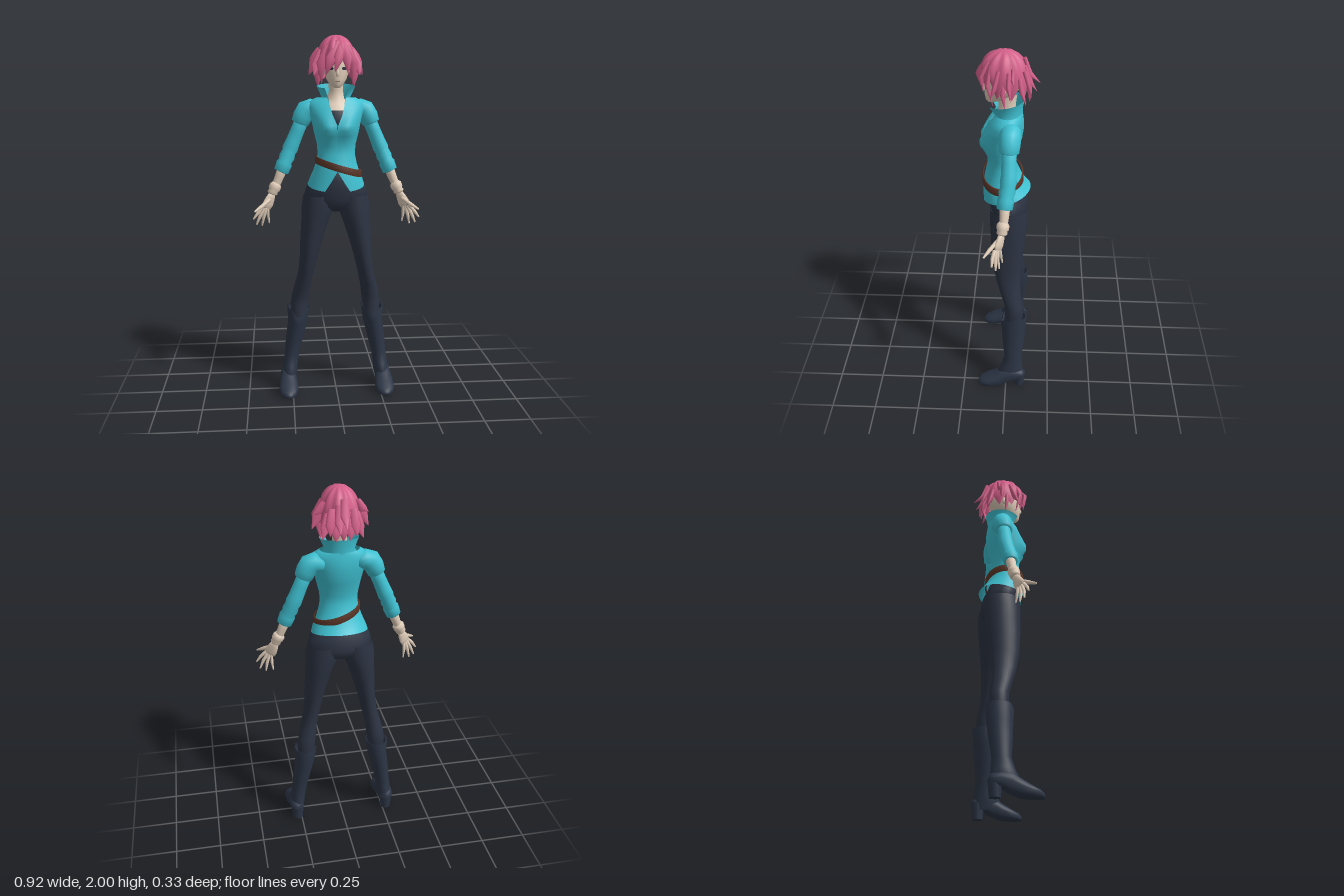
import * as THREE from 'three';

const mat = (name, color, side = THREE.FrontSide) => {
  const m = new THREE.MeshStandardMaterial({ color, side });
  m.name = name;
  return m;
};

// Skin a list of cross-sections, each running anticlockwise about the direction of travel
function loft(rows, { wrap = true, cap = false } = {}) {
  const n = rows[0].length, pos = [], idx = [];
  rows.forEach(r => r.forEach(p => pos.push(p.x, p.y, p.z)));
  for (let i = 0; i < rows.length - 1; i++) {
    for (let j = 0; j < (wrap ? n : n - 1); j++) {
      const k = (j + 1) % n, a = i * n + j, b = i * n + k, c = b + n, d = a + n;
      idx.push(a, b, c, a, c, d);
    }
  }
  if (cap) {
    [0, rows.length - 1].forEach((r, end) => {
      const mid = new THREE.Vector3();
      rows[r].forEach(p => mid.addScaledVector(p, 1 / n));
      const m = pos.length / 3;
      pos.push(mid.x, mid.y, mid.z);
      for (let j = 0; j < n; j++) {
        const a = r * n + j, b = r * n + (j + 1) % n;
        idx.push(m, end ? a : b, end ? b : a);
      }
    });
  }
  const g = new THREE.BufferGeometry();
  g.setAttribute('position', new THREE.Float32BufferAttribute(pos, 3));
  g.setIndex(idx);
  g.computeVertexNormals();
  return g;
}

// Horizontal oval from front depth to back depth; gap leaves an opening at the front
function oval(y, rx, zf, zb, { cx = 0, gap = null, drop = 0, n = 32, move = null } = {}) {
  const g = gap === null ? 0 : Math.asin(Math.min(1, gap / rx));
  const pts = [];
  for (let j = 0; j < (gap === null ? n : n + 1); j++) {
    const t = g + (2 * Math.PI - 2 * g) * j / n;
    const p = new THREE.Vector3(cx + rx * Math.sin(t), y - drop * Math.cos(t),
      (zf + zb) / 2 + (zf - zb) / 2 * Math.cos(t));
    if (move) move(p, t);
    pts.push(p);
  }
  return pts;
}

// Tapered limb along points [x, y, z, radius, depth radius]
function limb(points, n = 16, cap = true) {
  const v = points.map(p => new THREE.Vector3(p[0], p[1], p[2]));
  return loft(points.map((p, i) => {
    const t = v[Math.min(i + 1, v.length - 1)].clone().sub(v[Math.max(i - 1, 0)]).normalize();
    const side = t.clone().cross(new THREE.Vector3(0, 0, 1)).normalize();
    const up = t.clone().cross(side);
    return Array.from({ length: n }, (_, j) => {
      const a = j / n * 2 * Math.PI;
      return v[i].clone().addScaledVector(side, p[3] * Math.cos(a))
        .addScaledVector(up, (p[4] ?? p[3]) * Math.sin(a));
    });
  }), { cap });
}

function mirrored(geo) {
  const g = geo.clone().scale(-1, 1, 1), ix = g.index.array;
  for (let i = 0; i < ix.length; i += 3) [ix[i], ix[i + 1]] = [ix[i + 1], ix[i]];
  g.computeVertexNormals();
  return g;
}

export function createModel() {
  const root = new THREE.Group();
  root.name = 'standingWoman';
  const skin = mat('skin', 0xe0cdb9), hairMat = mat('pinkHair', 0xd25f88, THREE.DoubleSide);
  const teal = mat('tealCloth', 0x3fc1d2, THREE.DoubleSide), navy = mat('navyTrousers', 0x2c3342);
  const bootMat = mat('bootLeather', 0x2c3545, THREE.DoubleSide), brown = mat('brownLeather', 0x5c3628);
  const dark = mat('darkTop', 0x2a3040);
  const add = (name, geo, m) => {
    const mesh = new THREE.Mesh(geo, m);
    mesh.name = name;
    root.add(mesh);
    return mesh;
  };
  const pair = (name, geo, m) => {
    add(name + 'Left', geo, m);
    add(name + 'Right', mirrored(geo), m);
  };

  // Trousers: pelvis and legs
  add('pelvis', loft([[1.05, .03, .04, -.06], [1.075, .13, .075, -.1], [1.12, .18, .095, -.113],
    [1.18, .166, .1, -.103], [1.23, .135, .1, -.08], [1.28, .105, .09, -.06]].map(r => oval(...r)), { cap: true }), navy);
  const legRing = ([y, cx, rx, zf, zb]) => oval(y, rx, zf, zb, { cx, n: 24 });
  pair('leg', loft([[.42, .21, .045, .01, -.09], [.5, .207, .05, .005, -.1], [.55, .2, .05, .008, -.096],
    [.62, .187, .046, .03, -.082], [.7, .168, .044, .055, -.08], [.8, .151, .051, .074, -.085],
    [.9, .135, .064, .083, -.096], [1, .115, .077, .088, -.107], [1.07, .1, .091, .092, -.114],
    [1.14, .092, .088, .09, -.11]].map(legRing)), navy);

  // Boots: shaft with a notched front rim, foot and heel
  const notch = p => { if (p.z > -.04) p.y -= .055 * Math.exp(-(((p.x - .212) / .03) ** 2)); };
  pair('bootShaft', loft([
    ...[[.05, .27, .036, .03, -.1], [.09, .268, .044, .05, -.103], [.14, .262, .042, .025, -.097],
      [.2, .253, .042, .008, -.092], [.3, .236, .05, .018, -.105], [.4, .217, .056, .025, -.114]].map(legRing),
    oval(.485, .064, .03, -.12, { cx: .212, n: 24, move: notch }),
    oval(.48, .054, .02, -.11, { cx: .212, n: 24, move: notch })]), bootMat);
  pair('bootFoot', loft([[-.108, .07, .1, .015], [-.095, .06, .115, .034], [-.05, .045, .13, .042],
    [0, .018, .13, .045], [.05, .003, .095, .052], [.1, 0, .066, .054], [.14, 0, .046, .042],
    [.162, .003, .028, .018]].map(([z, y0, y1, w]) => Array.from({ length: 20 }, (_, j) => {
    const a = j / 20 * 2 * Math.PI, s = Math.sin(a);
    return new THREE.Vector3(.275 + w * Math.cos(a), (y0 + y1) / 2 + (y1 - y0) / 2 * (s < 0 ? -Math.sqrt(-s) : s), z);
  })), { cap: true }), bootMat);
  pair('bootHeel', new THREE.CylinderGeometry(.037, .029, .085, 16).translate(.272, .0425, -.078), bootMat);

  // Body under the jacket: dark top, upper chest and neck
  add('innerTop', loft([[1.46, .1, .1, -.05], [1.53, .115, .118, -.06], [1.58, .11, .11, -.06],
    [1.607, .1, .095, -.06]].map(r => oval(...r))), dark);
  add('neck', loft([[1.58, .1, .1, -.055], [1.607, .1, .088, -.055], [1.64, .08, .065, -.05],
    [1.665, .045, .048, -.045], [1.71, .038, .045, -.042], [1.77, .04, .05, -.05]].map(r => oval(...r))), skin);

  // Jacket: open at the collar and at the hem, with a shaped bust
  const bust = p => {
    if (p.z > 0) p.z += .024 * Math.exp(-(((Math.abs(p.x) - .06) / .04) ** 2) - ((p.y - 1.515) / .045) ** 2);
  };
  add('jacket', loft([[1.2, .156, .137, -.125, .068, .028], [1.235, .145, .132, -.108, .035, .01],
    [1.28, .125, .125, -.085, .002], [1.32, .112, .118, -.068, 0], [1.37, .102, .106, -.046, 0],
    [1.42, .105, .105, -.05, 0], [1.47, .117, .122, -.062, 0], [1.5, .124, .13, -.07, 0],
    [1.53, .13, .13, -.078, .002], [1.58, .142, .12, -.085, .024], [1.62, .152, .1, -.084, .036],
    [1.65, .146, .078, -.08, .044], [1.672, .105, .068, -.076, .05]]
    .map(([y, rx, zf, zb, gap, drop]) => oval(y, rx, zf, zb, { gap, drop, n: 48, move: bust })), { wrap: false }), teal);
  add('collar', loft([[1.635, .1, .088, -.08, .04], [1.675, .079, .075, -.076, .045, .005],
    [1.732, .104, .112, -.088, .066, .012]]
    .map(([y, rx, zf, zb, gap, drop]) => oval(y, rx, zf, zb, { gap, drop, n: 40 })), { wrap: false }), teal);

  // Belt slung lower on the left hip
  const slope = p => { p.y -= .31 * p.x; };
  add('belt', loft([[1.284, .118], [1.284, .127], [1.322, .127], [1.322, .118]]
    .map(([y, r]) => oval(y, r, r + .008, -r + .04, { cx: .012, n: 40, move: slope }))), brown);

  // Sleeves: puffed shoulder, then a folded lower sleeve
  pair('shoulderPuff', limb([[.09, 1.61, -.02, .04, .05], [.13, 1.612, -.02, .053, .055], [.16, 1.6, -.02, .058, .056],
    [.18, 1.57, -.018, .053, .054], [.194, 1.535, -.016, .048, .05], [.196, 1.53, -.016, .037, .038]], 20), teal);
  pair('sleeve', limb([[.175, 1.57, -.016, .038], [.21, 1.49, -.016, .038], [.235, 1.43, -.016, .04],
    [.25, 1.395, -.014, .043], [.257, 1.378, -.012, .038], [.268, 1.35, -.008, .043], [.278, 1.328, -.004, .037],
    [.283, 1.315, -.002, .044], [.3, 1.272, .002, .041], [.301, 1.27, .002, .028]], 20), teal);

  // Forearms, wrist cuffs and hands
  pair('forearm', limb([[.288, 1.3, 0, .028], [.312, 1.24, .003, .025], [.335, 1.185, .008, .021],
    [.35, 1.15, .014, .02]]), skin);
  pair('wristCuff', limb([[.326, 1.206, .006, .024], [.332, 1.195, .008, .033], [.341, 1.175, .011, .032],
    [.344, 1.168, .012, .026], [.35, 1.155, .014, .029], [.353, 1.147, .015, .021]]), skin);
  // The palm lies in a plane turned between the side and the front
  const palm = limb([[0, 0, 0, .019, .015], [0, -.03, 0, .028, .015], [0, -.06, 0, .034, .013],
    [0, -.085, 0, .03, .009]]);
  palm.rotateY(-.65).rotateZ(.42).rotateX(-.22).translate(.35, 1.152, .015);
  pair('palm', palm, skin);
  [['thumb', [.365, 1.12, .035], [.41, 1.09, .075], [.447, 1.068, .104], .011],
    ['indexFinger', [.4, 1.085, .05], [.432, 1.05, .06], [.456, 1.018, .062], .0095],
    ['middleFinger', [.393, 1.078, .042], [.42, 1.03, .046], [.44, .984, .042], .0095],
    ['ringFinger', [.385, 1.074, .034], [.4, 1.023, .033], [.41, .975, .026], .009],
    ['littleFinger', [.375, 1.076, .024], [.376, 1.03, .018], [.37, .985, .012], .008]]
    .forEach(([name, a, b, c, r]) => pair(name, limb([[...a, r], [...b, r], [...c, r * .5]], 8), skin));

  // Head and face
  add('head', loft([[1.725, .014, .1, .06], [1.74, .034, .11, .01], [1.77, .054, .116, -.04],
    [1.81, .068, .116, -.07], [1.86, .076, .116, -.09], [1.92, .07, .1, -.085], [1.96, .04, .06, -.05]]
    .map(r => oval(...r)), { cap: true }), skin);
  add('nose', limb([[0, 1.83, .108, .006], [0, 1.8, .117, .009, .012], [0, 1.785, .115, .007]], 8), skin);
  pair('ear', new THREE.SphereGeometry(.02, 12, 8).scale(.5, 1.2, .9).translate(.073, 1.82, .01), skin);
  pair('eye', new THREE.CircleGeometry(.015, 16).scale(1, .55, 1).rotateY(.36).translate(.036, 1.825, .109), dark);
  add('mouth', new THREE.CircleGeometry(.012, 12).scale(1, .2, 1).translate(0, 1.757, .1155), brown);

  // Hair cap: ridged dome with a jagged lower edge
  const cap = [];
  for (let i = 0; i <= 12; i++) {
    const t = Math.max(.001, 1 - i / 12), a = t * Math.PI / 2;
    const r = Math.sin(a) ** .92 * (1 - .1 * t ** 5);
    cap.push(Array.from({ length: 60 }, (_, j) => {
      const u = j / 60 * 2 * Math.PI, c = Math.cos(u);
      const edge = (c > .45 ? 1.79 + .06 * (c - .45) : 1.775 + .012 * c) + .022 * (j % 6 < 3 ? j % 3 : 3 - j % 3);
      const k = r * (1 + .025 * t * Math.sin(u * 10));
      return new THREE.Vector3(.112 * k * Math.sin(u), 2 - (2 - edge) * (1 - Math.cos(a)), .012 + .13 * k * c);
    }));
  }
  add('hairCap', loft(cap), hairMat);

  // Loose locks: root, bend, tip, width
  const lock = (name, a, b, c, w) => add(name, limb([[...a, w * .7, w * .4], [...b, w, w * .45], [...c, .001, .001]], 8), hairMat);
  [[[.01, 1.96, .09], [-.035, 1.875, .14], [-.062, 1.79, .118], .03],
    [[.02, 1.95, .1], [.005, 1.88, .146], [-.015, 1.805, .135], .026],
    [[.03, 1.95, .09], [.05, 1.88, .128], [.055, 1.8, .118], .028],
    [[-.05, 1.94, .08], [-.085, 1.85, .1], [-.082, 1.745, .075], .026],
    [[.05, 1.94, .08], [.085, 1.85, .095], [.085, 1.74, .07], .026]]
    .forEach(([a, b, c, w], i) => lock('fringeLock' + (i + 1), a, b, c, w));
  [-1, 1].forEach(s => [
    [[.08, 1.92, .04], [.11, 1.84, .06], [.122, 1.79, .08], .026],
    [[.085, 1.91, -.01], [.115, 1.85, -.01], [.146, 1.79, -.02], .03],
    [[.085, 1.93, -.03], [.112, 1.885, -.03], [.142, 1.868, -.035], .022],
    [[.08, 1.87, .02], [.098, 1.8, .02], [.098, 1.73, .01], .026],
    [[.07, 1.88, -.06], [.085, 1.81, -.075], [.105, 1.755, -.095], .028]]
    .forEach(([a, b, c, w], i) => lock((s > 0 ? 'leftLock' : 'rightLock') + (i + 1),
      ...[a, b, c].map(p => [s * p[0], p[1], p[2]]), w)));
  [[-.065, 1.775, -.128], [-.035, 1.75, -.118], [-.008, 1.825, -.163], [.022, 1.795, -.147],
    [.04, 1.745, -.112], [.07, 1.78, -.12], [0, 1.745, -.105]]
    .forEach(([x, y, z], i) => lock('backLock' + (i + 1), [x * .8, y + .13, -.085], [x * .95, y + .05, -.112], [x, y, z], .026));

  return root;
}
